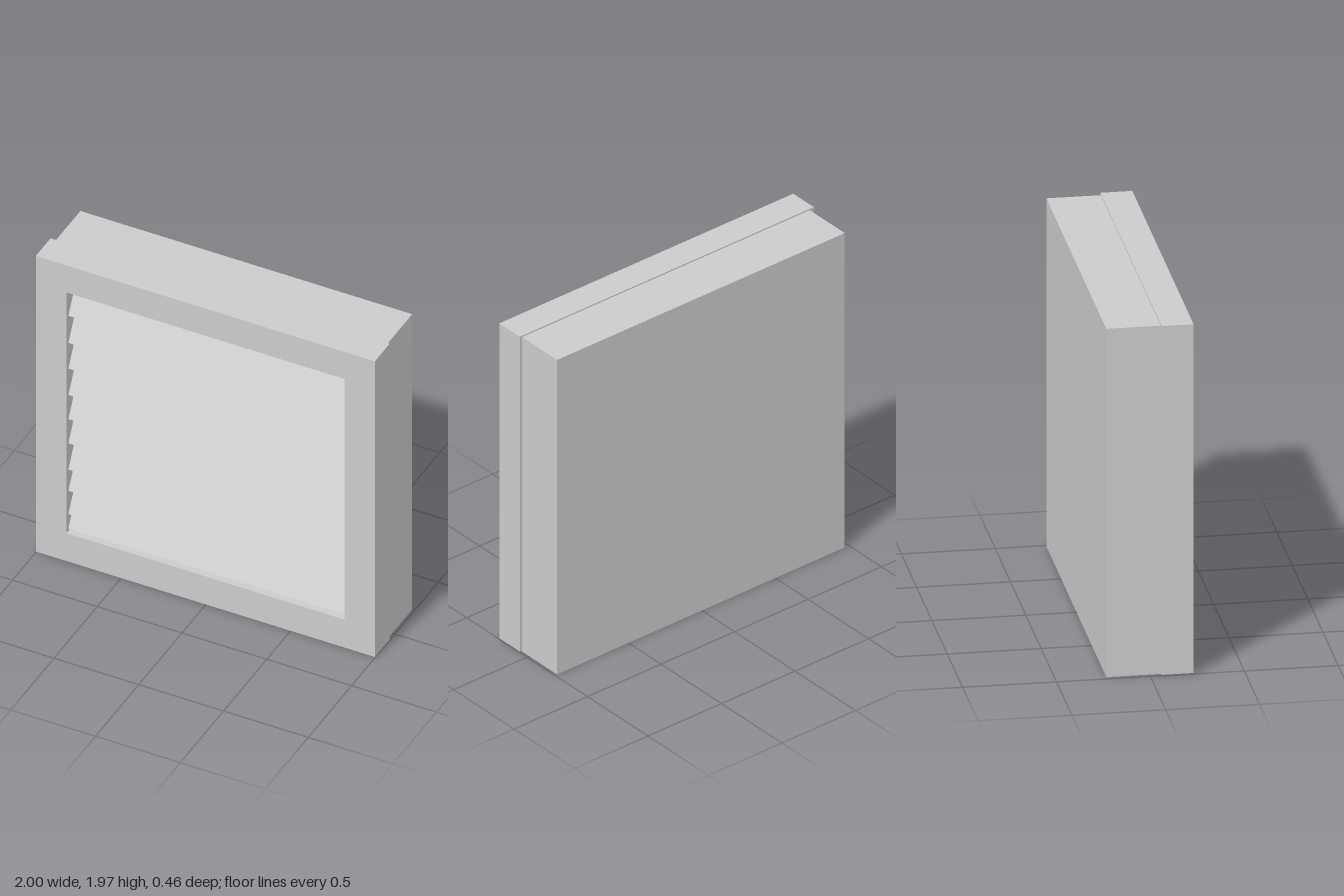
import * as THREE from 'three';

const material = new THREE.MeshStandardMaterial({ color: 0xcccccc, flatShading: true });

// Axis-aligned block from its minimum and maximum corners
function block(name, min, max) {
  const size = max.map((v, i) => v - min[i]);
  const mesh = new THREE.Mesh(new THREE.BoxGeometry(...size), material);
  mesh.position.set(...max.map((v, i) => (v + min[i]) / 2));
  mesh.name = name;
  return mesh;
}

// Flat front frame with a rectangular opening
function frontFrame(back, front) {
  const shape = new THREE.Shape();
  shape.moveTo(-1, 0.005).lineTo(1, 0.005).lineTo(1, 1.965).lineTo(-1, 1.965).closePath();
  const hole = new THREE.Path();
  hole.moveTo(-0.82, 0.19).lineTo(-0.82, 1.785).lineTo(0.82, 1.785).lineTo(0.82, 0.19).closePath();
  shape.holes.push(hole);
  const geometry = new THREE.ExtrudeGeometry(shape, { depth: front - back, bevelEnabled: false });
  const mesh = new THREE.Mesh(geometry, material);
  mesh.position.z = back;
  mesh.name = 'frontFrame';
  return mesh;
}

export function createModel() {
  const model = new THREE.Group();
  model.name = 'louveredVent';

  // Closed housing behind the frame
  model.add(block('housing', [-0.972, 0, -0.23], [0.985, 1.957, 0.06]));
  model.add(frontFrame(0.06, 0.23));

  // Tilted slats, placed by the height of their front lower edge
  const length = 0.19, thickness = 0.04, tilt = 0.49;
  const slatGeometry = new THREE.BoxGeometry(1.64, length, thickness);
  slatGeometry.translate(0, length / 2, -thickness / 2);
  const louvers = new THREE.Group();
  louvers.name = 'louvers';
  for (const y of [0.205, 0.3, 0.455, 0.595, 0.77, 0.93, 1.09, 1.265, 1.435, 1.615]) {
    const slat = new THREE.Mesh(slatGeometry, material);
    slat.name = 'slat';
    slat.position.set(0, y, 0.207);
    slat.rotation.x = -tilt;
    louvers.add(slat);
  }
  model.add(louvers);
  return model;
}
